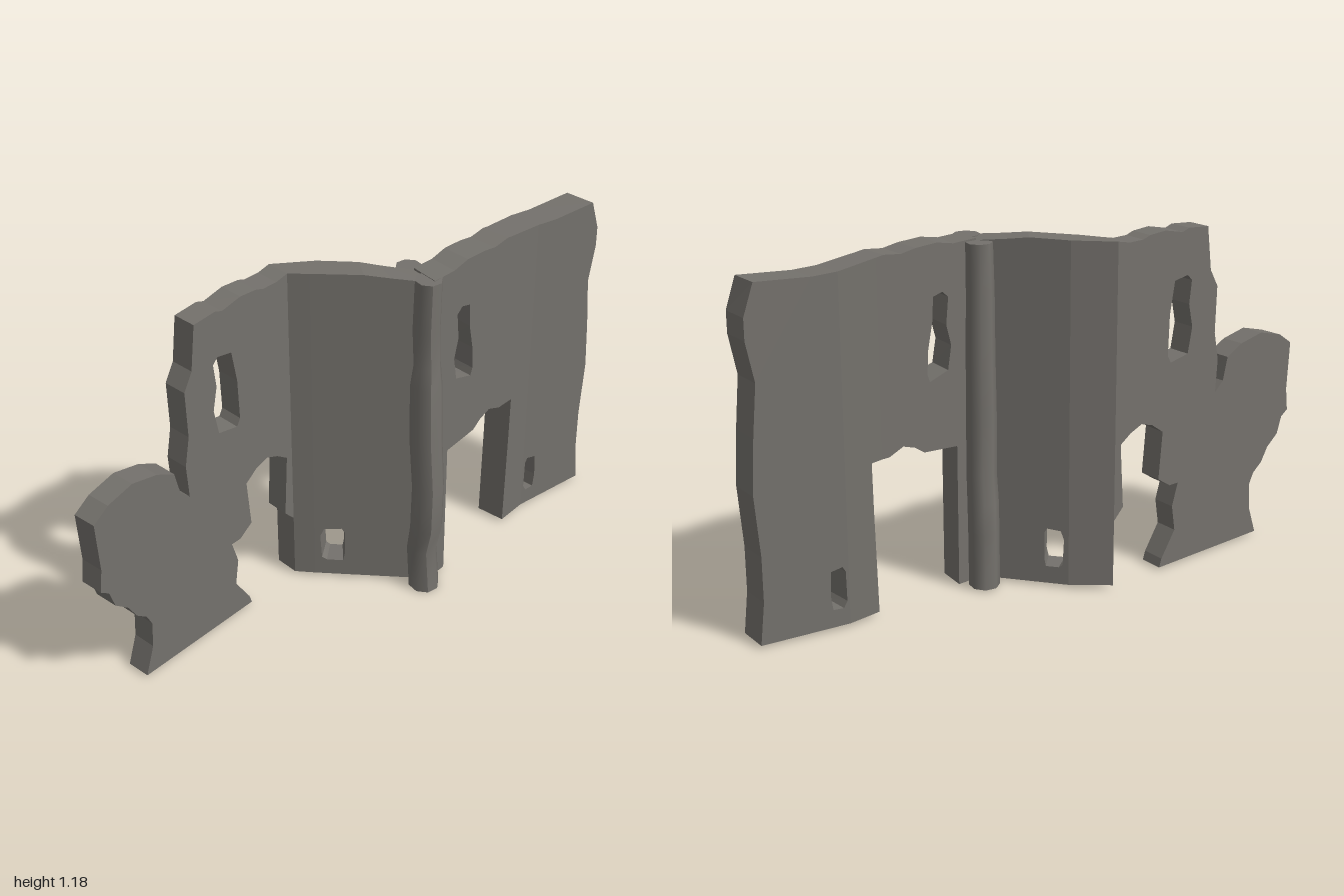
import * as THREE from 'three';

const stone = new THREE.MeshStandardMaterial({ color: 0x74716c });
stone.name = 'grey stone';
const moss = new THREE.MeshStandardMaterial({ color: 0x5c5a1c });
moss.name = 'olive moss';

// Plan of the wall at each bend: front x, front z, back x, back z
const plan = [
  [-1.0, -0.165, -1.0, -0.25],
  [-0.14, -0.178, -0.13, -0.265],
  [-0.1, -0.12, -0.02, -0.165],
  [0.13, 0.195, 0.155, 0.09],
  [0.55, 0.185, 0.55, 0.08],
  [0.7, 0.18, 0.7, 0.067],
  [0.98, 0.225, 0.99, 0.112],
];

const points = (list) => list.map(([x, y]) => new THREE.Vector2(x, y));

// Extrudes an outline and fits it between bend i and bend i + 1 of the plan
function wallPanel(name, i, outline, hole) {
  const shape = new THREE.Shape(points(outline));
  if (hole) shape.holes.push(new THREE.Path(points(hole)));
  const geo = new THREE.ExtrudeGeometry(shape, { depth: 1, bevelEnabled: false });
  const p = geo.attributes.position;
  const [a, b] = [plan[i], plan[i + 1]];
  for (let k = 0; k < p.count; k++) {
    const t = (p.getX(k) - a[0]) / (b[0] - a[0]);
    const front = p.getZ(k);
    const at = (n) => a[n] + (b[n] - a[n]) * t;
    p.setX(k, THREE.MathUtils.lerp(at(2), at(0), front));
    p.setZ(k, THREE.MathUtils.lerp(at(3), at(1), front));
  }
  geo.computeVertexNormals();
  const mesh = new THREE.Mesh(geo, stone);
  mesh.name = name;
  return mesh;
}

// Uneven eight-sided post; rows run upwards as [y, x, z, half width]
function post(name, rows) {
  const n = rows.length - 1;
  const geo = new THREE.CylinderGeometry(1, 1, n, 8, n);
  const p = geo.attributes.position;
  const turn = 0.62;
  for (let k = 0; k < p.count; k++) {
    const [y, cx, cz, r] = rows[Math.round(p.getY(k) + n / 2)];
    const u = p.getX(k) * r, v = p.getZ(k) * r * 1.1;
    p.setXYZ(k, cx + u * Math.cos(turn) - v * Math.sin(turn), y,
      cz + u * Math.sin(turn) + v * Math.cos(turn));
  }
  geo.computeVertexNormals();
  const mesh = new THREE.Mesh(geo, stone);
  mesh.name = name;
  return mesh;
}

// Thin patch under a wall foot
function mossPatch(name, x, z, width, depth, turn) {
  const mesh = new THREE.Mesh(new THREE.BoxGeometry(width, 0.004, depth), moss);
  mesh.position.set(x, 0.009, z);
  mesh.rotation.y = turn;
  mesh.name = name;
  return mesh;
}

export function createModel() {
  const model = new THREE.Group();
  model.name = 'ruinedWall';

  // Left wing with broken outer lobe, waisted foot and tall window
  model.add(wallPanel('leftWing', 0, [
    [-0.85, 0.01], [-0.36, 0.01], [-0.37, 0.04], [-0.43, 0.13], [-0.415, 0.22],
    [-0.44, 0.3], [-0.4, 0.3], [-0.345, 0.335], [-0.36, 0.5], [-0.31, 0.535],
    [-0.26, 0.55], [-0.21, 0.53], [-0.165, 0.5], [-0.18, 0.28], [-0.14, 0.24],
    [-0.14, 1.177], [-0.19, 1.167], [-0.25, 1.168], [-0.28, 1.178], [-0.35, 1.183],
    [-0.43, 1.167], [-0.46, 1.177], [-0.55, 1.17], [-0.57, 1.02], [-0.605, 0.96],
    [-0.6, 0.8], [-0.62, 0.7], [-0.612, 0.585], [-0.65, 0.62], [-0.67, 0.7],
    [-0.74, 0.735], [-0.84, 0.755], [-0.94, 0.73], [-1, 0.69], [-0.99, 0.52],
    [-1, 0.44], [-0.97, 0.42], [-0.95, 0.36], [-0.9, 0.32], [-0.87, 0.27],
    [-0.83, 0.24], [-0.81, 0.2], [-0.815, 0.11],
  ], [
    [-0.47, 0.75], [-0.39, 0.735], [-0.375, 0.76], [-0.38, 0.9], [-0.4, 1.01],
    [-0.46, 1.02], [-0.48, 1.0], [-0.47, 0.92], [-0.488, 0.84],
  ]));

  // Slanted middle section
  model.add(wallPanel('middleCorner', 1, [
    [-0.14, 0.01], [-0.1, 0.01], [-0.1, 1.18], [-0.14, 1.177],
  ]));
  model.add(wallPanel('middleSection', 2, [
    [-0.1, 0.01], [0.13, 0.01], [0.13, 1.165], [0.05, 1.175], [0, 1.183], [-0.1, 1.18],
  ], [
    [-0.085, 0.08], [-0.075, 0.07], [-0.042, 0.07], [-0.038, 0.1],
    [-0.038, 0.19], [-0.045, 0.205], [-0.08, 0.2], [-0.088, 0.17],
  ]));

  // Right wing with doorway, tall window and small low window
  model.add(wallPanel('rightWingInner', 3, [
    [0.13, 0.005], [0.225, 0.005], [0.225, 0.495], [0.37, 0.505], [0.41, 0.53],
    [0.46, 0.545], [0.52, 0.522], [0.55, 0.522], [0.55, 1.168], [0.52, 1.172],
    [0.45, 1.165], [0.39, 1.175], [0.3, 1.18], [0.23, 1.168], [0.13, 1.172],
  ], [
    [0.26, 0.76], [0.34, 0.735], [0.35, 0.76], [0.345, 0.84], [0.325, 0.93],
    [0.32, 1.01], [0.28, 1.02], [0.255, 1.0], [0.265, 0.91], [0.245, 0.84],
  ]));
  model.add(wallPanel('rightWingBend', 4, [
    [0.58, 0.01], [0.7, 0.01], [0.7, 1.15], [0.55, 1.168], [0.55, 0.522],
    [0.593, 0.52], [0.59, 0.36],
  ]));
  model.add(wallPanel('rightWingOuter', 5, [
    [0.7, 0.01], [0.99, 0.01], [0.975, 0.15], [0.975, 0.3], [0.99, 0.5], [0.98, 0.68],
    [0.965, 0.85], [0.99, 0.98], [0.99, 1.05], [0.957, 1.152], [0.78, 1.145], [0.7, 1.15],
  ], [
    [0.708, 0.09], [0.72, 0.068], [0.755, 0.07], [0.762, 0.12],
    [0.758, 0.2], [0.72, 0.208], [0.71, 0.19],
  ]));

  // Wavy posts either side of the inner corner
  model.add(post('frontPost', [
    [0, 0.115, 0.193, 0.053], [0.16, 0.113, 0.182, 0.052], [0.26, 0.108, 0.203, 0.056],
    [0.42, 0.112, 0.203, 0.055], [0.6, 0.117, 0.185, 0.056], [0.8, 0.12, 0.178, 0.054],
    [0.87, 0.13, 0.172, 0.045], [1.0, 0.125, 0.17, 0.046], [1.17, 0.13, 0.17, 0.045],
  ]));
  model.add(post('backPost', [
    [0.005, 0.178, 0.035, 0.052], [0.2, 0.178, 0.036, 0.052], [0.3, 0.175, 0.042, 0.052],
    [0.4, 0.172, 0.052, 0.05], [0.6, 0.172, 0.05, 0.05], [0.8, 0.17, 0.054, 0.048],
    [1.0, 0.167, 0.056, 0.046], [1.165, 0.165, 0.062, 0.044],
  ]));

  // Mossy patches on the underside
  model.add(mossPatch('rightFootMoss', 0.86, 0.148, 0.16, 0.07, -0.16));
  model.add(mossPatch('middleFootMoss', 0.07, 0.03, 0.12, 0.04, -0.95));

  return model;
}
